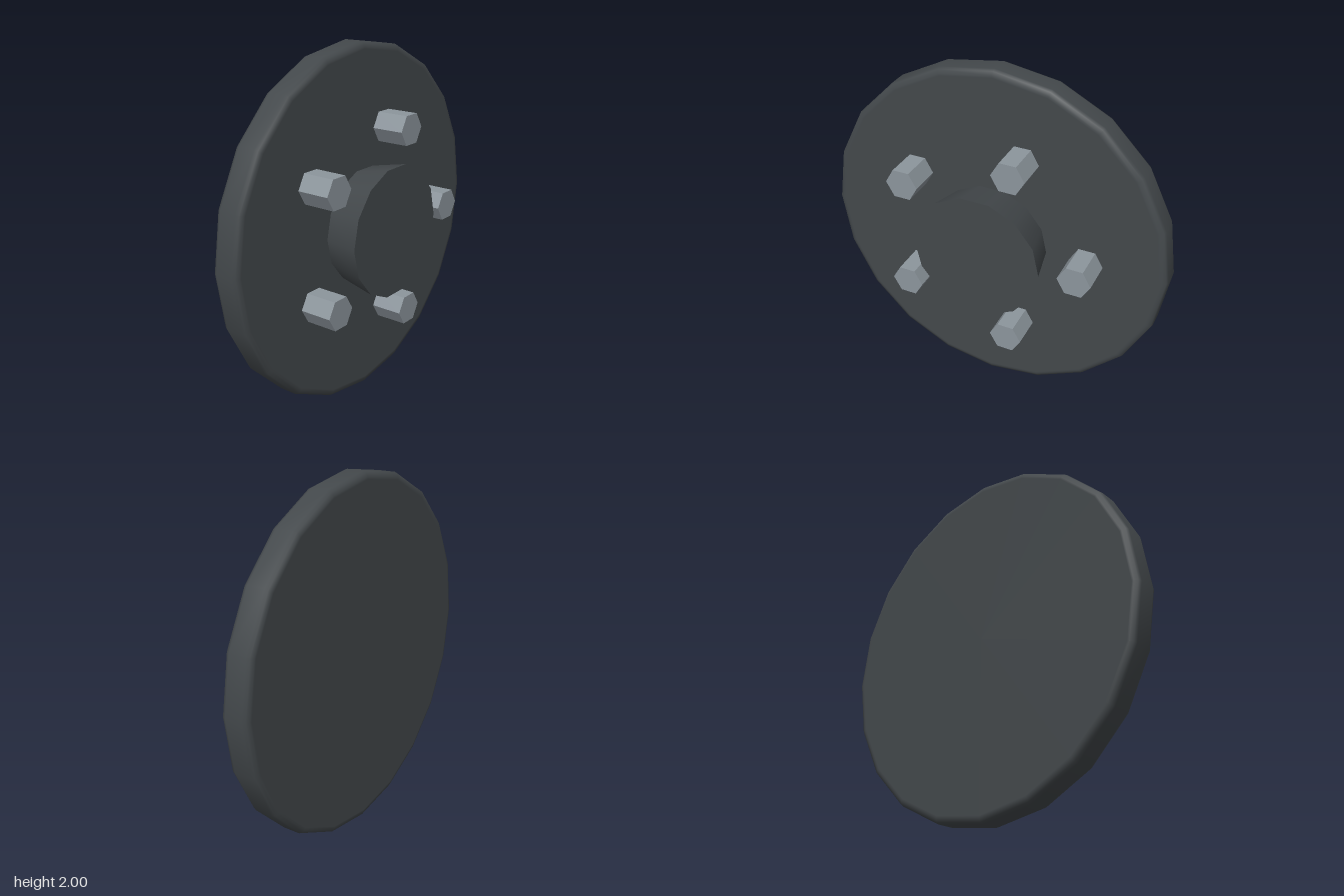
import * as THREE from 'three';

export function createModel() {
  const group = new THREE.Group();
  const darkMetal = new THREE.MeshStandardMaterial({ name: 'darkMetal', color: 0x43484b });
  const boltMetal = new THREE.MeshStandardMaterial({ name: 'boltMetal', color: 0x8c959c });

  function add(name, geometry, material, x, y, z) {
    const mesh = new THREE.Mesh(geometry, material);
    mesh.name = name;
    mesh.position.set(x, y, z);
    group.add(mesh);
  }

  // Lay a y-axis solid on its side so that its top points to +x
  const layDown = (geometry) => geometry.rotateZ(-Math.PI / 2);

  // Twenty-sided plate with a softly rounded rim
  const half = 0.077;
  const rim = [[0, half], [0.96, half], [0.972, half], [0.992, half - 0.009], [1, half - 0.028]];
  const profile = [
    ...rim.map(([r, h]) => new THREE.Vector2(r, -h)),
    ...rim.slice().reverse().map(([r, h]) => new THREE.Vector2(r, h)),
  ];
  add('plate', layDown(new THREE.LatheGeometry(profile, 20)), darkMetal, -0.107, 1, 0);

  // Hub, flaring outwards from the plate
  const hub = layDown(new THREE.CylinderGeometry(0.37, 0.325, 0.22, 14));
  add('hub', hub, darkMetal, 0.073, 1, 0);

  // Ring of five hexagonal bolts
  const hex = layDown(new THREE.CylinderGeometry(0.094, 0.094, 0.195, 6)).toNonIndexed();
  hex.computeVertexNormals();
  for (let i = 0; i < 5; i++) {
    const a = (i / 5) * Math.PI * 2;
    add('bolt' + (i + 1), hex, boltMetal, 0.058, 1 + Math.sin(a) * 0.555, -Math.cos(a) * 0.555);
  }
  return group;
}
